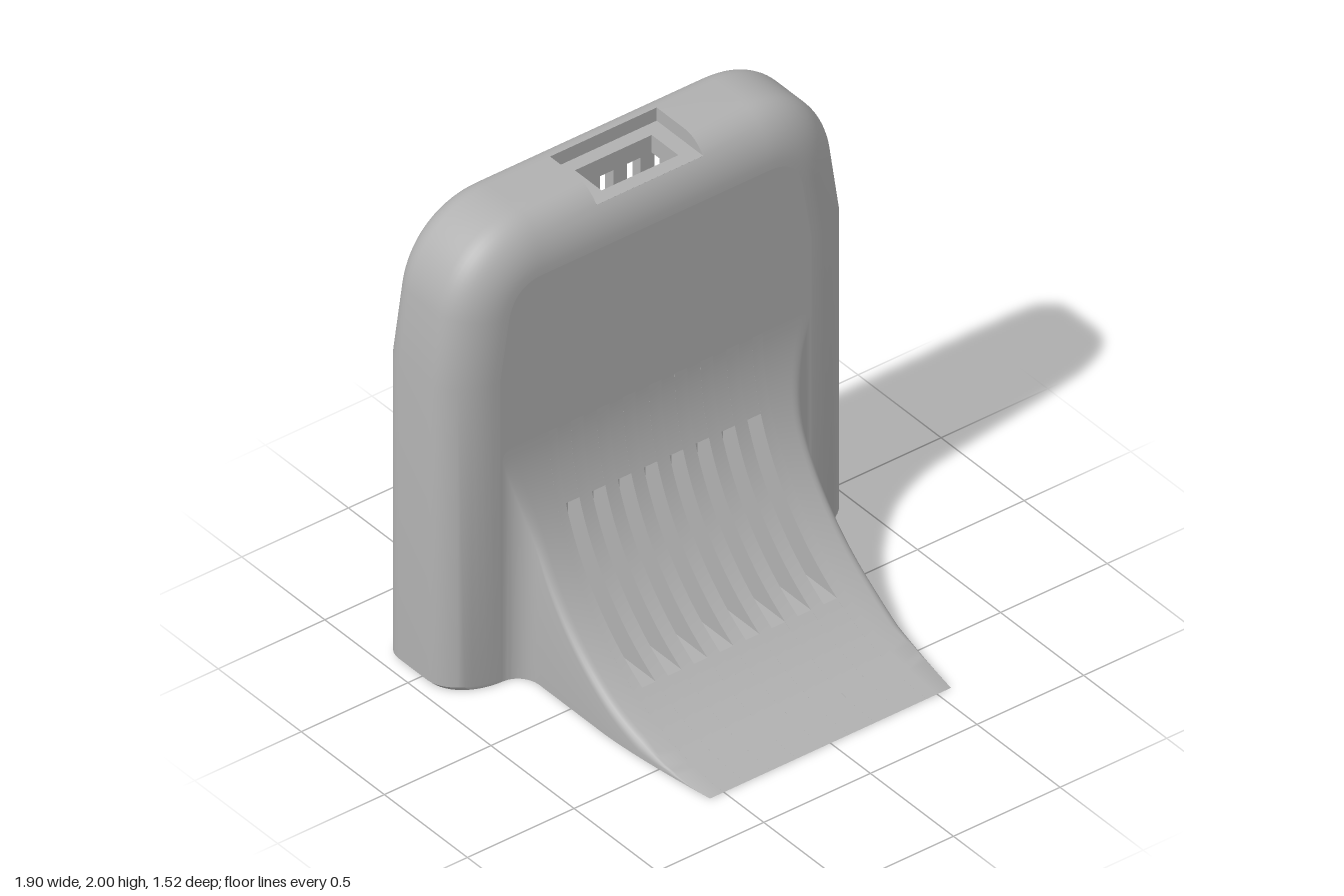
import * as THREE from 'three';
import { toCreasedNormals } from 'three/addons/utils/BufferGeometryUtils.js';

const FRONT = -0.29, BACK = -0.72;           // flat faces of the housing
const FRONT_INSET = 0.22, BACK_INSET = 0.1;  // edge rounding
const PORT = { x0: -0.24, x1: 0.26, y: 1.94, z0: -0.62, z1: -0.34 };
const SLOT_Y = [0.15, 0.73], SLOT_W = 0.063;
const RAMP_R = 1.05, RAMP_Z = 0.76;          // concave ramp arc

// Half outline of the housing, moved inward by d
function halfOutline(d) {
  const pts = [[0.93 - d, 0], [0.95 - d, 0.02], [0.95 - d, 1.38]];
  const curve = new THREE.CubicBezierCurve(
    new THREE.Vector2(0.905, 1.68), new THREE.Vector2(0.87, 1.88),
    new THREE.Vector2(0.72, 2), new THREE.Vector2(0.53, 2));
  for (let i = 0; i <= 18; i++) {
    const p = curve.getPoint(i / 18), t = curve.getTangent(i / 18);
    pts.push([p.x - t.y * d, p.y + t.x * d]);
  }
  return pts;
}

function outline(d) {
  const half = halfOutline(d);
  const mirrored = half.map(([x, y]) => [-x, y]).reverse();
  return [...half, [PORT.x1, 2 - d], [PORT.x0, 2 - d], ...mirrored];
}

// Surface through rows of points, with optional missing cells
function loft(rows, flip = false, skip = () => false) {
  const n = rows[0].length, index = [];
  for (let j = 0; j < rows.length - 1; j++) {
    for (let i = 0; i < n - 1; i++) {
      if (skip(i, j)) continue;
      const a = j * n + i, b = a + 1, c = a + n, d = c + 1;
      if (flip) index.push(a, b, c, b, d, c);
      else index.push(a, c, b, b, c, d);
    }
  }
  const g = new THREE.BufferGeometry();
  g.setAttribute('position', new THREE.Float32BufferAttribute(rows.flat(2), 3));
  g.setIndex(index);
  return toCreasedNormals(g, 0.5);
}

const toShape = pts => new THREE.Shape(pts.map(p => new THREE.Vector2(p[0], p[1])));

function rectHole(shape, x0, x1, y0, y1) {
  shape.holes.push(new THREE.Path([[x0, y0], [x0, y1], [x1, y1], [x1, y0]]
    .map(p => new THREE.Vector2(...p))));
}

const extrude = (shape, depth) => toCreasedNormals(
  new THREE.ExtrudeGeometry(shape, { depth, bevelEnabled: false }), 0.3);

// Extrude a (z, y) shape between x0 and x1
const alongX = (shape, x0, x1) =>
  extrude(shape, x1 - x0).rotateY(-Math.PI / 2).translate(x1, 0, 0);

// Extrude an (x, z) shape downward from y
const downFrom = (shape, y, depth) =>
  extrude(shape, depth).rotateX(Math.PI / 2).translate(0, y, 0);

// Solid (z, y) section of the ramp between two heights
function rampSection(y0, y1) {
  const a0 = Math.asin(1 - y0 / RAMP_R), a1 = Math.asin(1 - y1 / RAMP_R);
  const pts = [[-0.31, y0]];
  for (let i = 0; i <= 32; i++) {
    const a = a0 + (a1 - a0) * i / 32;
    pts.push([RAMP_Z - RAMP_R * Math.cos(a), RAMP_R - RAMP_R * Math.sin(a)]);
  }
  pts.push([-0.31, y1]);
  return toShape(pts);
}

// Half width of the ramp: fillet at the housing, taper at the tip
function rampHalfWidth(z) {
  const u = 1 - Math.min(1, Math.max(0, (z - FRONT) / 0.1));
  const taper = Math.max(0, (z - 0.2) / 0.56);
  return 0.625 + 0.095 * (1 - Math.sqrt(1 - u * u)) - 0.06 * taper ** 1.5;
}

function rampSide(s) {
  const rows = [];
  for (let j = 0; j <= 48; j++) {
    const a = j / 48 * Math.PI / 2;
    const z = RAMP_Z - RAMP_R * Math.cos(a), y = RAMP_R - RAMP_R * Math.sin(a);
    const w = rampHalfWidth(z), r = Math.min(0.04, y * 0.6);
    const row = [[s * 0.5, y, z]];
    for (let k = 0; k <= 5; k++) {
      const t = k / 5 * Math.PI / 2;
      row.push([s * (w - r + r * Math.sin(t)), y - r + r * Math.cos(t), z]);
    }
    row.push([s * w, 0, z], [s * 0.5, 0, z]);
    rows.push(row);
  }
  return loft(rows, s < 0);
}

export function createModel() {
  const model = new THREE.Group();
  const grey = new THREE.MeshStandardMaterial({ color: 0xb0b0b0, side: THREE.DoubleSide });
  grey.name = 'grey plastic';
  const add = (name, geometry) => {
    const mesh = new THREE.Mesh(geometry, grey);
    mesh.name = name;
    model.add(mesh);
  };
  const addBox = (name, x0, x1, y0, y1, z0, z1) =>
    add(name, new THREE.BoxGeometry(x1 - x0, y1 - y0, z1 - z0)
      .translate((x0 + x1) / 2, (y0 + y1) / 2, (z0 + z1) / 2));

  // Rounded rim from front to back, left open at the port recess
  const lip = Math.acos(1 - (2 - PORT.y) / FRONT_INSET);
  const edge = [];
  const frontEdge = p => edge.push([FRONT_INSET * (1 - Math.cos(p)), -0.45 + 0.16 * Math.sin(p)]);
  for (let i = 0; i < 6; i++) frontEdge(Math.PI / 2 + (lip - Math.PI / 2) * i / 6);
  for (let i = 0; i <= 6; i++) frontEdge(lip * (1 - i / 6));
  for (let i = 0; i <= 8; i++) {
    const p = i / 8 * Math.PI / 2;
    edge.push([BACK_INSET * (1 - Math.cos(p)), PORT.z0 - 0.1 * Math.sin(p)]);
  }
  const portColumn = halfOutline(0).length;
  add('housingRim', loft(edge.map(([d, z]) => outline(d).map(([x, y]) => [x, y, z])),
    false, (i, j) => i === portColumn && j >= 6 && j <= 12));

  // Front panel, open behind the ramp slots
  const front = toShape(outline(FRONT_INSET));
  rectHole(front, -0.462, 0.453, ...SLOT_Y);
  add('frontPanel', extrude(front, 0.03).translate(0, 0, FRONT - 0.03));

  // Back panel with two rows of vents
  const back = toShape(outline(BACK_INSET));
  for (let i = 0; i < 6; i++) {
    const x = (i - 2.5) * 0.128;
    rectHole(back, x - 0.032, x + 0.032, 1.4, 1.79);
    if (i >= 1 && i <= 3) rectHole(back, x - 0.032, x + 0.032, 0.295, 0.59);
  }
  add('backPanel', extrude(back, 0.05).translate(0, 0, BACK));

  // Base with a large opening, and inner walls
  const rim = edge.map(([d, z]) => [0.93 - d, z]);
  const base = toShape([...rim, ...rim.map(([x, z]) => [-x, z]).reverse()]);
  rectHole(base, -0.63, 0.63, -0.67, -0.32);
  add('base', downFrom(base, 0.04, 0.04));
  for (const s of [-1, 1]) {
    const x = s * 0.645;
    addBox('innerWall', x - 0.015, x + 0.015, 0.01, 1.65, -0.68, -0.31);
    addBox('mountingRail', s * 0.6 - 0.15, s * 0.6 + 0.15, 0, 1.59, -0.76, BACK);
  }

  // Port recess in the top
  const floor = toShape([[PORT.x0, PORT.z0], [PORT.x1, PORT.z0], [PORT.x1, PORT.z1], [PORT.x0, PORT.z1]]);
  rectHole(floor, -0.17, 0.19, -0.56, -0.4);
  add('portFloor', downFrom(floor, PORT.y, 0.08));
  addBox('portBackWall', PORT.x0, PORT.x1, PORT.y, 2, PORT.z0 - 0.005, PORT.z0);
  const cheek = toShape([[PORT.z0, PORT.y], ...edge.slice(6, 14).map(([d, z]) => [z, 2 - d])]);
  add('portCheek', alongX(cheek, PORT.x0 - 0.005, PORT.x0));
  add('portCheek', alongX(cheek, PORT.x1, PORT.x1 + 0.005));

  // Curved ramp: ribs alternating with slots, then filleted sides
  let x = -0.5;
  for (let i = 0; i < 8; i++) {
    const x0 = -0.43 + i * 0.1215 - SLOT_W / 2, x1 = x0 + SLOT_W;
    add('rampRib', alongX(rampSection(0, RAMP_R), x, x0));
    add('rampSlotFloor', alongX(rampSection(0, SLOT_Y[0]), x0, x1));
    add('rampSlotTop', alongX(rampSection(SLOT_Y[1], RAMP_R), x0, x1));
    x = x1;
  }
  add('rampRib', alongX(rampSection(0, RAMP_R), x, 0.5));
  add('rampSideLeft', rampSide(1));
  add('rampSideRight', rampSide(-1));

  return model;
}
